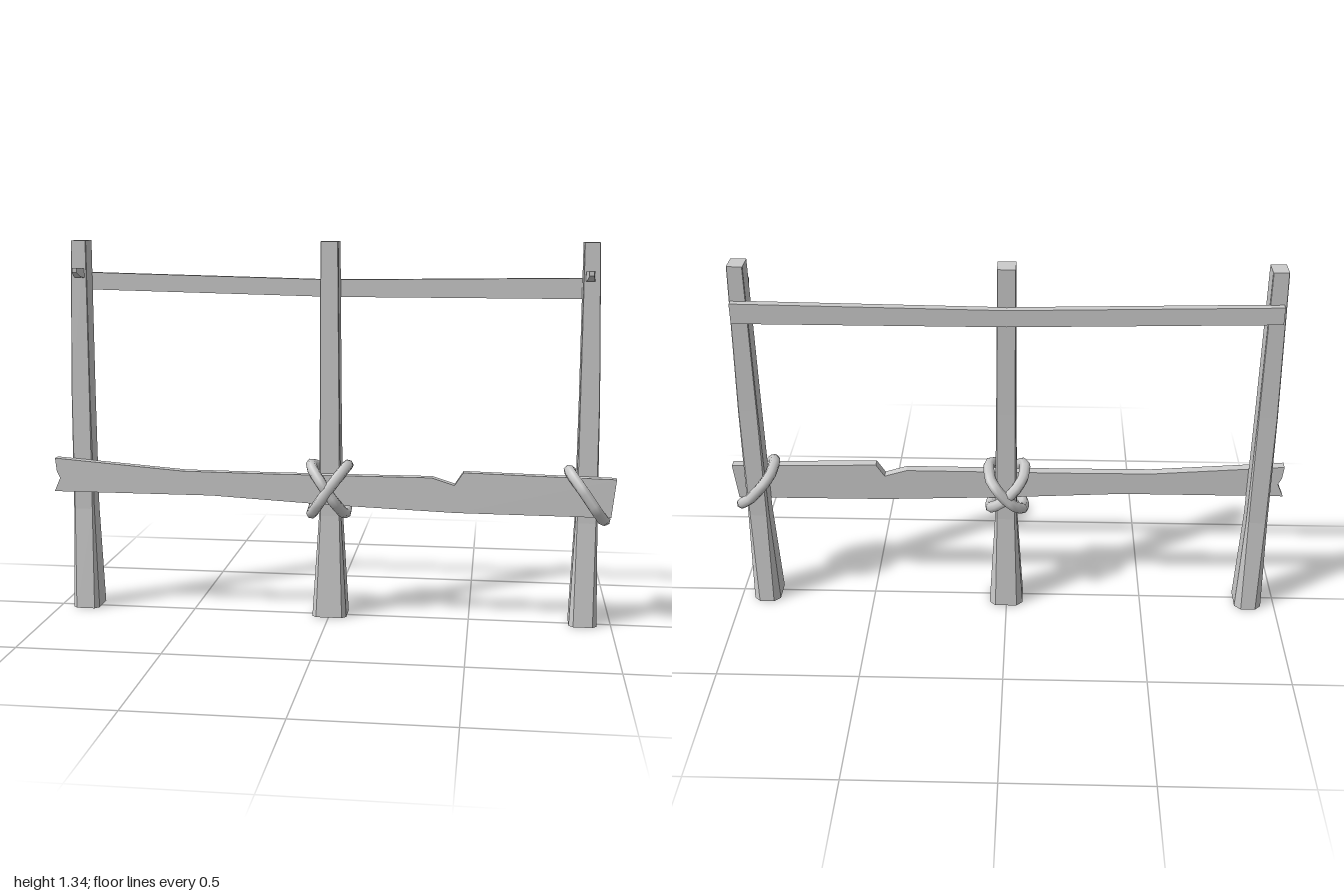
import * as THREE from 'three';

const wood = new THREE.MeshStandardMaterial({ color: 0xcccccc, flatShading: true });
const cord = new THREE.MeshStandardMaterial({ color: 0xcccccc });

function add(parent, name, geometry, material = wood) {
  const mesh = new THREE.Mesh(geometry, material);
  mesh.name = name;
  parent.add(mesh);
  return mesh;
}

// Closed solid through equal-length rings of [x, y, z] points
function loft(rings) {
  const n = rings[0].length, index = [];
  for (let r = 0; r < rings.length - 1; r++) {
    for (let i = 0; i < n; i++) {
      const a = r * n + i, b = r * n + (i + 1) % n;
      index.push(a, b, b + n, a, b + n, a + n);
    }
  }
  const top = (rings.length - 1) * n;
  for (let i = 1; i < n - 1; i++) {
    index.push(0, i + 1, i, top, top + i, top + i + 1);
  }
  const g = new THREE.BufferGeometry();
  g.setAttribute('position', new THREE.Float32BufferAttribute(rings.flat(2), 3));
  g.setIndex(index);
  const flat = g.toNonIndexed();
  flat.computeVertexNormals();
  return flat;
}

// Horizontal rectangle with chamfered corners: f at the front, b at the back
function postRing(y, x0, x1, z0, z1, f, b) {
  return [
    [x0 + f, y, z1], [x1 - f, y, z1], [x1, y, z1 - f], [x1, y, z0 + b],
    [x1 - b, y, z0], [x0 + b, y, z0], [x0, y, z0 + b], [x0, y, z1 - f],
  ];
}

// Flat board cut from an outline in the xy plane
function board(points, z, depth) {
  const shape = new THREE.Shape(points.map(([x, y]) => new THREE.Vector2(x, y)));
  return new THREE.ExtrudeGeometry(shape, { depth, bevelEnabled: false }).translate(0, 0, z);
}

// One slanted rope loop, offsets measured from the post axis
const loopPath = [
  [-0.055, 0.545, 0.055], [-0.02, 0.5, 0.083], [0.025, 0.435, 0.083], [0.058, 0.385, 0.045],
  [0.06, 0.39, 0], [0.053, 0.425, -0.058], [0.02, 0.455, -0.084], [-0.03, 0.51, -0.084],
  [-0.058, 0.54, -0.05], [-0.065, 0.555, 0.01],
];
function ropeLoop(side, lift = 0) {
  const pts = loopPath.map(([x, y, z]) => new THREE.Vector3(x * side, y, z + Math.sign(z) * lift));
  if (side < 0) pts.reverse();
  const curve = new THREE.CatmullRomCurve3(pts, true, 'catmullrom', 0.25);
  return new THREE.TubeGeometry(curve, 24, 0.02, 7, true);
}

export function createModel() {
  const group = new THREE.Group();

  // Posts flare at the foot; the outer two lean slightly inward
  add(group, 'middlePost', loft([
    postRing(0, -0.06, 0.063, -0.075, 0.045, 0.015, 0.022),
    postRing(0.37, -0.037, 0.042, -0.053, 0.022, 0.006, 0.008),
    postRing(0.8, -0.033, 0.036, -0.051, 0.021, 0.002, 0.003),
    postRing(1.34, -0.031, 0.031, -0.053, 0.019, 0.002, 0.002),
  ]));
  for (const side of [-1, 1]) {
    const ring = (y, inner, outer, ...rest) =>
      postRing(y, ...(side < 0 ? [-outer, -inner] : [inner, outer]), ...rest);
    add(group, side < 0 ? 'rightPost' : 'leftPost', loft([
      ring(0, 0.853, 0.95, -0.075, 0.045, 0.015, 0.022),
      ring(0.37, 0.866, 0.942, -0.053, 0.022, 0.006, 0.008),
      ring(0.8, 0.868, 0.936, -0.051, 0.021, 0.002, 0.003),
      ring(1.34, 0.867, 0.921, -0.053, 0.019, 0.002, 0.002),
    ]));

    // Tapered peg pointing forward through the post
    const pegRing = (z, w, y0, y1) => [[-w, y0, z], [w, y0, z], [w, y1, z], [-w, y1, z]];
    add(group, side < 0 ? 'rightPeg' : 'leftPeg', loft([
      pegRing(-0.02, 0.015, 1.208, 1.242),
      pegRing(0.03, 0.015, 1.21, 1.242),
      pegRing(0.06, 0.012, 1.217, 1.246),
      pegRing(0.086, 0.008, 1.231, 1.247),
    ])).position.x = side * 0.89;
  }

  // Thin sagging rail behind the posts
  add(group, 'topRail', board([
    [-0.915, 1.165], [0, 1.145], [0.92, 1.145], [0.92, 1.217], [0, 1.205], [-0.915, 1.226],
  ], -0.076, 0.028));

  // Weathered plank in front, notched on its upper edge and split at one end
  add(group, 'lowerPlank', board([
    [-1, 0.44], [-0.42, 0.44], [0, 0.418], [0.45, 0.402], [0.985, 0.4], [1, 0.535],
    [0.75, 0.54], [0.475, 0.546], [0.445, 0.5], [0.365, 0.525], [-0.2, 0.524],
    [-0.52, 0.526], [-0.995, 0.562], [-0.99, 0.515], [-0.978, 0.49],
  ], 0.021, 0.033));

  // Rope lashings: a cross on the middle post, a single loop on the left one
  add(group, 'middleLashingA', ropeLoop(1), cord);
  add(group, 'middleLashingB', ropeLoop(-1, 0.006), cord);
  add(group, 'leftLashing', ropeLoop(1), cord).position.x = 0.905;

  return group;
}
